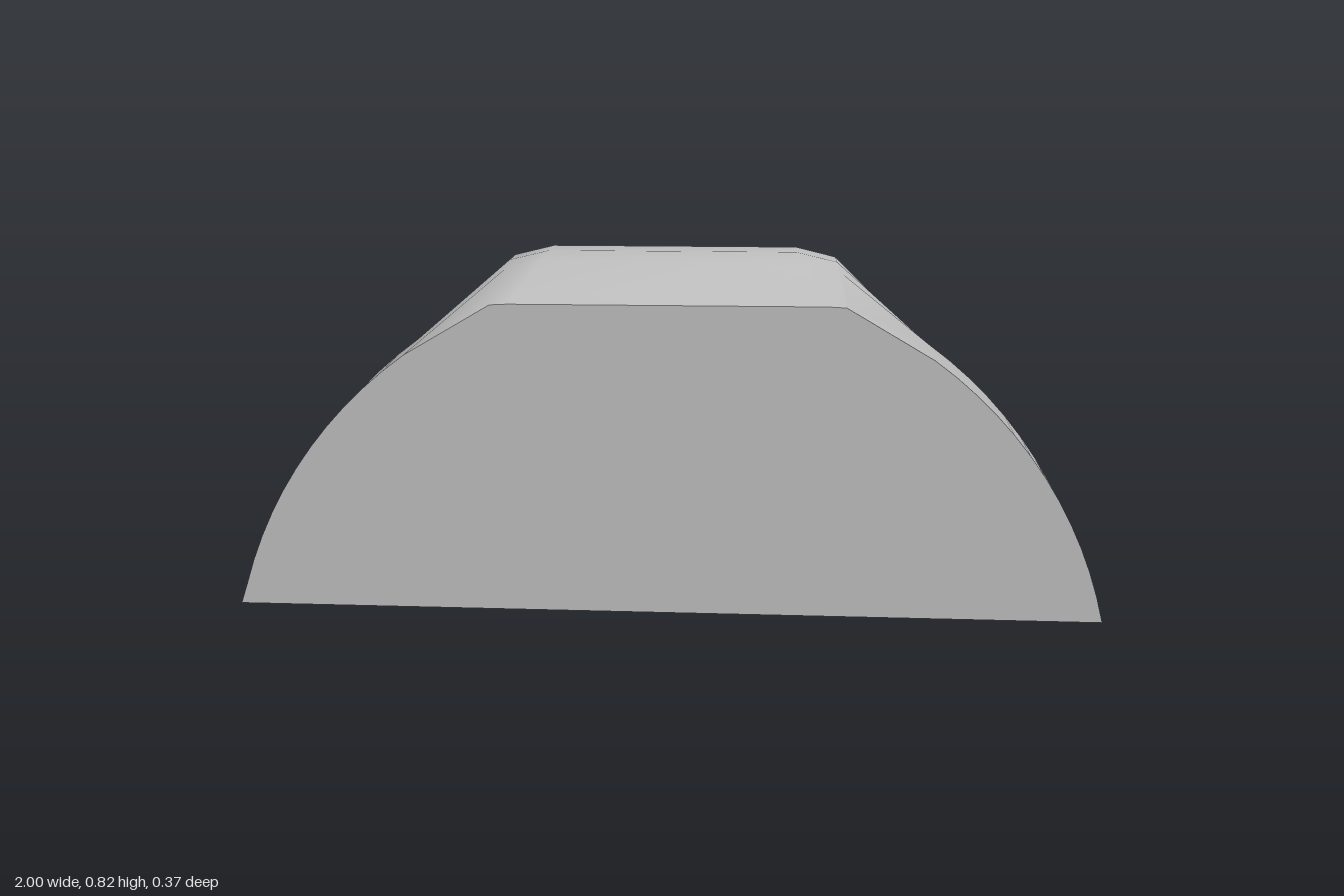
import * as THREE from 'three';
import { toCreasedNormals } from 'three/addons/utils/BufferGeometryUtils.js';

const lerp = THREE.MathUtils.lerp;

// Cross-sections from front to back:
// s = arc scale, lift = 0 low top / 1 raised top, drop = lowering of the top,
// sideY = foot of the arc, bx/by = bottom corner, tilt = raise of the right-hand foot
const sections = [
  { z: 0.185, s: 1, lift: 0, drop: 0, sideY: 0.011, bx: 1, by: 0.01, tilt: 0.014 },
  { z: -0.01, s: 0.999, lift: 0.8, drop: 0, sideY: 0.003, bx: 0.995, by: 0, tilt: 0 },
  { z: -0.06, s: 0.993, lift: 1, drop: 0, sideY: 0.03, bx: 0.91, by: 0.004, tilt: 0 },
  { z: -0.16, s: 0.975, lift: 1, drop: 0.003, sideY: 0.08, bx: 0.75, by: 0.012, tilt: 0 },
  { z: -0.178, s: 0.95, lift: 1, drop: 0.025, sideY: 0.082, bx: 0.715, by: 0.014, tilt: 0 },
  { z: -0.185, s: 0.89, lift: 1, drop: 0.1, sideY: 0.095, bx: 0.7, by: 0.016, tilt: 0 },
];

// Closed outline, counter-clockwise from the bottom left corner of the model
function outline({ z, s, lift, drop, sideY, bx, by, tilt }) {
  const half = [[bx, by]];
  const cy = -0.21, r = 1.024 * s, steps = 12;
  const a0 = Math.asin((sideY - cy) / r), a1 = 0.945;
  for (let i = 0; i <= steps; i++) {
    const a = lerp(a0, a1, i / steps);
    half.push([r * Math.cos(a), cy + r * Math.sin(a)]);
  }
  half.push([lerp(0.4, 0.385, lift) * (1 - drop), lerp(0.738, 0.802, lift) - drop]);
  half.push([lerp(0.36, 0.29, lift), lerp(0.74, 0.825, lift) - drop]);
  const mirrored = half.map(([x, y], i) => [-x, y + (i < 2 ? tilt : 0)]).reverse();
  return [...half, ...mirrored].map(([x, y]) => new THREE.Vector3(x, y, z));
}

function loft(rings) {
  const pos = [];
  const tri = (...pts) => pts.forEach((p) => pos.push(p.x, p.y, p.z));
  const n = rings[0].length;
  const first = rings[0], last = rings[rings.length - 1];
  const frontCentre = new THREE.Vector3(0, 0.35, first[0].z);
  const backCentre = new THREE.Vector3(0, 0.35, last[0].z);
  for (let i = 0; i < n; i++) {
    const j = (i + 1) % n;
    // walls between neighbouring sections
    for (let k = 0; k < rings.length - 1; k++) {
      const f = rings[k], b = rings[k + 1];
      tri(f[i], b[i], f[j]);
      tri(f[j], b[i], b[j]);
    }
    // end faces
    tri(frontCentre, first[i], first[j]);
    tri(backCentre, last[j], last[i]);
  }
  const geometry = new THREE.BufferGeometry();
  geometry.setAttribute('position', new THREE.Float32BufferAttribute(pos, 3));
  return toCreasedNormals(geometry, 0.6);
}

export function createModel() {
  const group = new THREE.Group();
  group.name = 'halfRoundBlock';
  const grey = new THREE.MeshStandardMaterial({ color: 0xbcbcbc });
  grey.name = 'light grey';
  const body = new THREE.Mesh(loft(sections.map(outline)), grey);
  body.name = 'body';
  group.add(body);
  return group;
}
